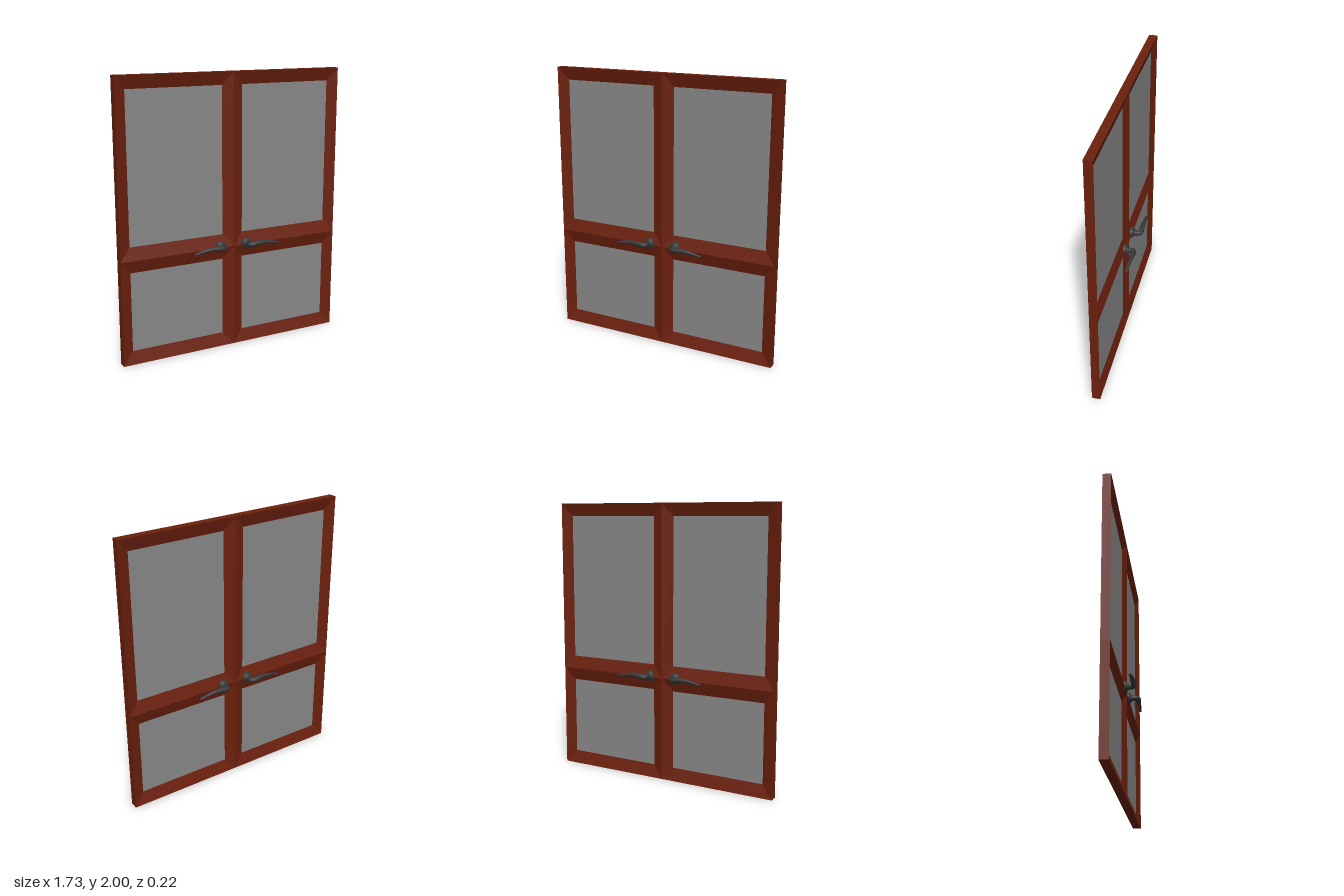
import * as THREE from 'three';
import { mergeVertices } from 'three/addons/utils/BufferGeometryUtils.js';

const WOOD = new THREE.MeshStandardMaterial({ color: 0x6b200d, flatShading: true });
const GLASS = new THREE.MeshStandardMaterial({ color: 0x888888 });
const METAL = new THREE.MeshStandardMaterial({ color: 0x383838 });

const HALF_WIDTH = 0.865, HALF_DEPTH = 0.03, RAIL_Y = 0.755, HEIGHT = 2;
const BORDER_X = 0.079, BORDER_Y = 0.092, GLASS_HALF = 0.002;

function addMesh(parent, name, geometry, material) {
  const mesh = new THREE.Mesh(geometry, material);
  mesh.name = name;
  parent.add(mesh);
  return mesh;
}

// Mitred frame whose front and back faces slope in to the glass
function bevelFrame(x0, x1, y0, y1) {
  const loop = (bx, by, z) => [
    [x0 + bx, y0 + by, z], [x1 - bx, y0 + by, z], [x1 - bx, y1 - by, z], [x0 + bx, y1 - by, z],
  ];
  const loops = [
    loop(BORDER_X, BORDER_Y, GLASS_HALF), loop(0, 0, HALF_DEPTH),
    loop(0, 0, -HALF_DEPTH), loop(BORDER_X, BORDER_Y, -GLASS_HALF),
  ];
  const points = [];
  for (let k = 0; k < 3; k++) {
    for (let i = 0; i < 4; i++) {
      const j = (i + 1) % 4;
      const a = loops[k][i], b = loops[k + 1][i], c = loops[k + 1][j], d = loops[k][j];
      points.push(...a, ...b, ...c, ...a, ...c, ...d);
    }
  }
  const geometry = new THREE.BufferGeometry();
  geometry.setAttribute('position', new THREE.Float32BufferAttribute(points, 3));
  geometry.computeVertexNormals();
  return geometry;
}

// Lever: a bent tube, thinned towards a rounded tip
function leverGeometry() {
  const path = new THREE.CatmullRomCurve3([
    [0.106, 0.763, 0.03], [0.106, 0.763, 0.065], [0.109, 0.764, 0.086], [0.13, 0.767, 0.093],
    [0.18, 0.772, 0.092], [0.24, 0.77, 0.091], [0.3, 0.76, 0.09], [0.343, 0.751, 0.089],
  ].map((p) => new THREE.Vector3(...p)));
  const rings = 48, sides = 16;
  const geometry = new THREE.TubeGeometry(path, rings, 1, sides);
  const pos = geometry.attributes.position;
  const v = new THREE.Vector3();
  for (let i = 0; i < pos.count; i++) {
    const u = Math.floor(i / (sides + 1)) / rings;
    const centre = path.getPointAt(u);
    const taper = THREE.MathUtils.lerp(0.019, 0.009, THREE.MathUtils.smoothstep(u, 0.3, 1));
    const tip = Math.sqrt(Math.max(0, 1 - Math.pow(Math.max(0, (u - 0.96) / 0.04), 2)));
    v.fromBufferAttribute(pos, i).sub(centre).multiplyScalar(taper * tip).add(centre);
    pos.setXYZ(i, v.x, v.y, v.z);
  }
  geometry.deleteAttribute('uv');
  geometry.deleteAttribute('normal');
  const merged = mergeVertices(geometry, 1e-5);
  merged.computeVertexNormals();
  return merged;
}

// Round rose plate with a stepped collar
function roseGeometry() {
  const profile = [
    [0.041, 0], [0.041, 0.022], [0.039, 0.028], [0.034, 0.031],
    [0.027, 0.032], [0.026, 0.04], [0.022, 0.044], [0, 0.044],
  ].map((p) => new THREE.Vector2(...p));
  return new THREE.LatheGeometry(profile, 32).rotateX(Math.PI / 2).translate(0.104, 0.763, 0.01);
}

export function createModel() {
  const model = new THREE.Group();
  model.name = 'doubleDoor';
  const lever = leverGeometry();
  const rose = roseGeometry();

  for (const side of [-1, 1]) {
    const door = new THREE.Group();
    door.name = side > 0 ? 'leftDoor' : 'rightDoor';
    model.add(door);
    const x0 = side > 0 ? 0 : -HALF_WIDTH;
    const x1 = x0 + HALF_WIDTH;

    // Lower and upper panels
    for (const [label, y0, y1] of [['lower', 0, RAIL_Y], ['upper', RAIL_Y, HEIGHT]]) {
      addMesh(door, label + 'Frame', bevelFrame(x0, x1, y0, y1), WOOD);
      const pane = new THREE.BoxGeometry(
        HALF_WIDTH - 2 * BORDER_X, y1 - y0 - 2 * BORDER_Y, 2 * GLASS_HALF);
      addMesh(door, label + 'Glass', pane, GLASS)
        .position.set((x0 + x1) / 2, (y0 + y1) / 2, 0);
    }

    // Handles on both faces
    for (const face of [-1, 1]) {
      const handle = new THREE.Group();
      handle.name = face > 0 ? 'frontHandle' : 'backHandle';
      handle.scale.set(side, 1, face);
      addMesh(handle, 'rose', rose, METAL);
      addMesh(handle, 'lever', lever, METAL);
      door.add(handle);
    }
  }
  return model;
}
